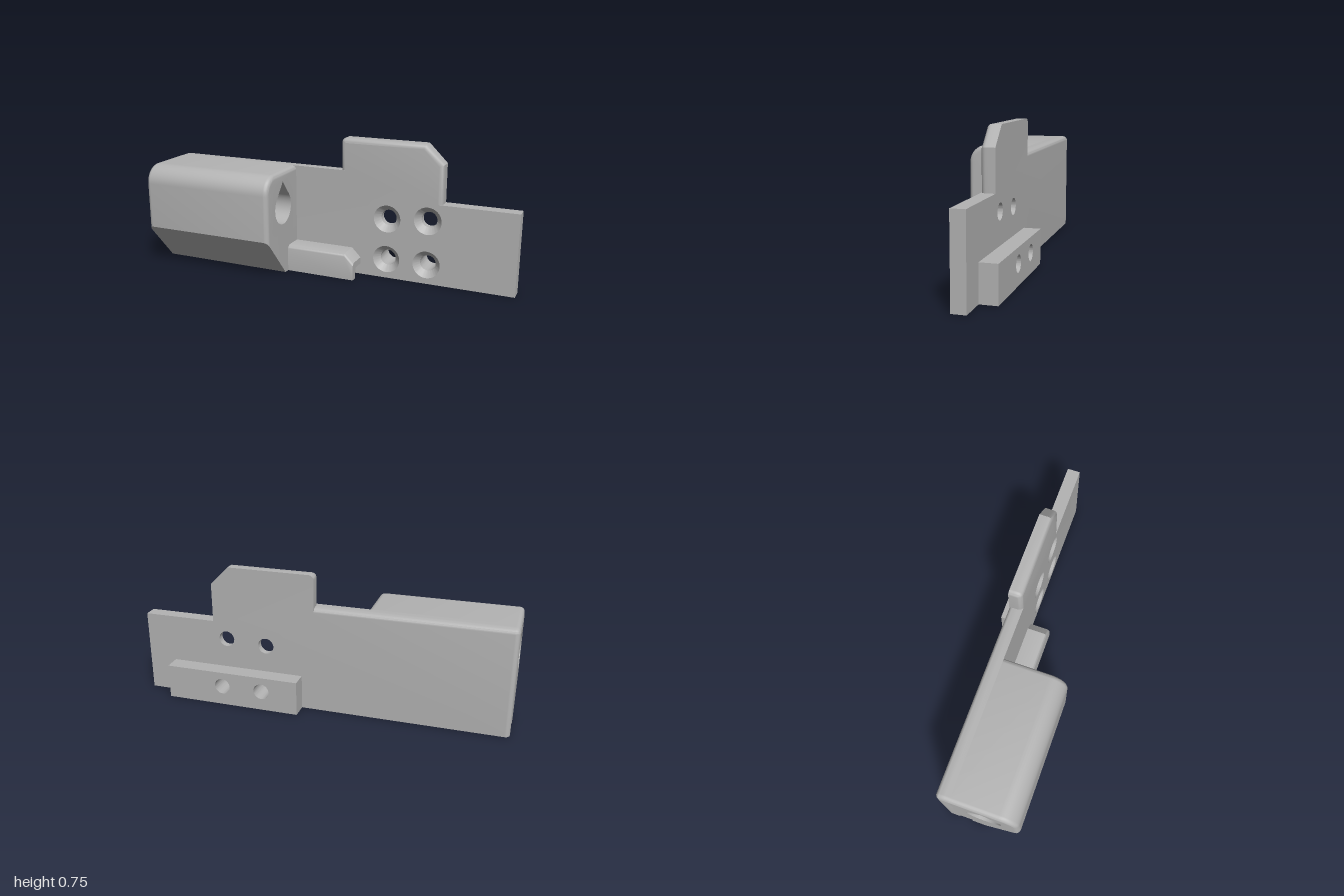
import * as THREE from 'three';
import { toCreasedNormals } from 'three/addons/utils/BufferGeometryUtils.js';

const V = (x, y) => new THREE.Vector2(x, y);
const R = 0.025; // edge fillet radius

// Points on an arc, angles in degrees
function arc(cx, cy, r, from, to, n = 6) {
  return Array.from({ length: n + 1 }, (_, i) => {
    const a = THREE.MathUtils.degToRad(from + (to - from) * i / n);
    return V(cx + r * Math.cos(a), cy + r * Math.sin(a));
  });
}
const circle = (x, y, r) => arc(x, y, r, 0, 352.5, 47);

// Distance from the end and inset for each step of a quarter-round edge
const fillet = Array.from({ length: 6 }, (_, k) => {
  const a = k / 5 * Math.PI / 2;
  return { d: R * (1 - Math.cos(a)), inset: R * (1 - Math.sin(a)) };
});

// Closed solid from counter-clockwise sections {w, pts}, each hole being its own list of sections
function loft(sections, holes = []) {
  const pos = [];
  const put = (p, w) => pos.push(p.x, p.y, w);
  const walls = (secs, inward) => {
    for (let s = 0; s < secs.length - 1; s++) {
      const A = secs[s], B = secs[s + 1], n = A.pts.length;
      for (let i = 0; i < n; i++) {
        const j = (i + 1) % n;
        const q = [[A.pts[i], A.w], [A.pts[j], A.w], [B.pts[j], B.w], [B.pts[i], B.w]];
        (inward ? [0, 2, 1, 0, 3, 2] : [0, 1, 2, 0, 2, 3]).forEach(k => put(...q[k]));
      }
    }
  };
  walls(sections, false);
  holes.forEach(h => walls(h, true));
  [0, -1].forEach(end => {
    const { pts, w } = sections.at(end);
    const inner = holes.map(h => h.at(end).pts);
    const all = [pts, ...inner].flat();
    THREE.ShapeUtils.triangulateShape(pts.slice(), inner.map(h => h.slice())).forEach(([a, b, c]) => {
      (end ? [a, b, c] : [a, c, b]).forEach(k => put(all[k], w));
    });
  });
  const g = new THREE.BufferGeometry();
  g.setAttribute('position', new THREE.Float32BufferAttribute(pos, 3));
  return toCreasedNormals(g, 0.6);
}

// Front outline of the plate: b insets the left and top edges, f insets the raised tab
function plateOutline(b, f) {
  const r = Math.max(R - b, 0.001), t = Math.max(R - f, 0.001);
  return [
    V(-1 + b, 0), V(1, 0), V(1, 0.445), V(0.6 - f, 0.445),
    V(0.6 - f, 0.655 - 0.414 * f), V(0.5 - 0.414 * f, 0.755 - f),
    ...arc(0.03 + f + t, 0.755 - f - t, t, 90, 180),
    V(0.03 + f, 0.58 - b),
    ...arc(-1 + b + r, 0.58 - b - r, r, 90, 180),
  ];
}

// Side profile of the housing (x = -z), inset at the top and front only
function housingProfile(i) {
  return [
    V(-0.055, 0), V(0.018, 0), V(0.018, 0.06), V(0.093, 0.06), V(0.093, 0.58 - i),
    ...arc(-0.155, 0.48, 0.1 - i, 90, 180, 12),
    V(-0.255 + i, 0.23 - 1.15 * i),
  ];
}

// Side profile of the lip with the given top height
function lipProfile(top) {
  return [
    V(-0.022, 0), V(0.018, 0), V(0.018, 0.06), V(0.093, 0.06), V(0.093, top),
    ...arc(-0.022 + R, top - R, R, 90, 180),
  ];
}

export function createModel() {
  const group = new THREE.Group();
  const grey = new THREE.MeshStandardMaterial({ color: 0xb3b3b3, side: THREE.DoubleSide });
  grey.name = 'grey';
  const add = (name, geometry, sideways) => {
    const m = new THREE.Mesh(geometry, grey);
    m.name = name;
    if (sideways) m.rotation.y = Math.PI / 2;
    group.add(m);
  };
  const zBack = -0.165, zFront = -0.093, holeR = 0.043;

  // Mounting plate with rounded edges and four countersunk holes
  const screwHoles = [[0.3, 0.335], [0.525, 0.35], [0.3, 0.107], [0.525, 0.107]];
  add('mountingPlate', loft(
    [
      ...fillet.map(e => ({ w: zBack + e.d, pts: plateOutline(e.inset, 0) })),
      ...fillet.slice().reverse().map(e => ({ w: zFront - e.d, pts: plateOutline(0, e.inset) })),
    ],
    screwHoles.map(([x, y]) => [
      { w: zBack, pts: circle(x, y, holeR) },
      { w: zFront - 0.035, pts: circle(x, y, holeR) },
      { w: zFront, pts: circle(x, y, 0.075) },
    ])));

  // Housing with a teardrop bore along its length
  const x0 = -1, x1 = -0.24;
  const bore = [...arc(-0.07, 0.38, 0.093, 140, 400, 40), V(-0.07, 0.525)];
  add('housing', loft(
    [
      ...fillet.map(e => ({ w: x0 + e.d, pts: housingProfile(e.inset) })),
      ...fillet.slice().reverse().map(e => ({ w: x1 - e.d, pts: housingProfile(e.inset) })),
    ],
    [[{ w: x0, pts: bore }, { w: x1, pts: bore }]]), true);

  // Grooved lip with a chamfered end
  add('lip', loft([
    { w: x1 - 0.03, pts: lipProfile(0.147) },
    { w: 0.1, pts: lipProfile(0.147) },
    { w: 0.15, pts: lipProfile(0.096) },
  ]), true);

  // Rear pad carrying the two lower holes
  const pad = [V(0.1, 0), V(0.845, 0), V(0.845, 0.187), V(0.1, 0.187)];
  add('rearPad', loft(
    [{ w: -0.255, pts: pad }, { w: zBack, pts: pad }],
    screwHoles.slice(2).map(([x, y]) => [
      { w: -0.255, pts: circle(x, y, holeR) }, { w: zBack, pts: circle(x, y, holeR) },
    ])));

  return group;
}
